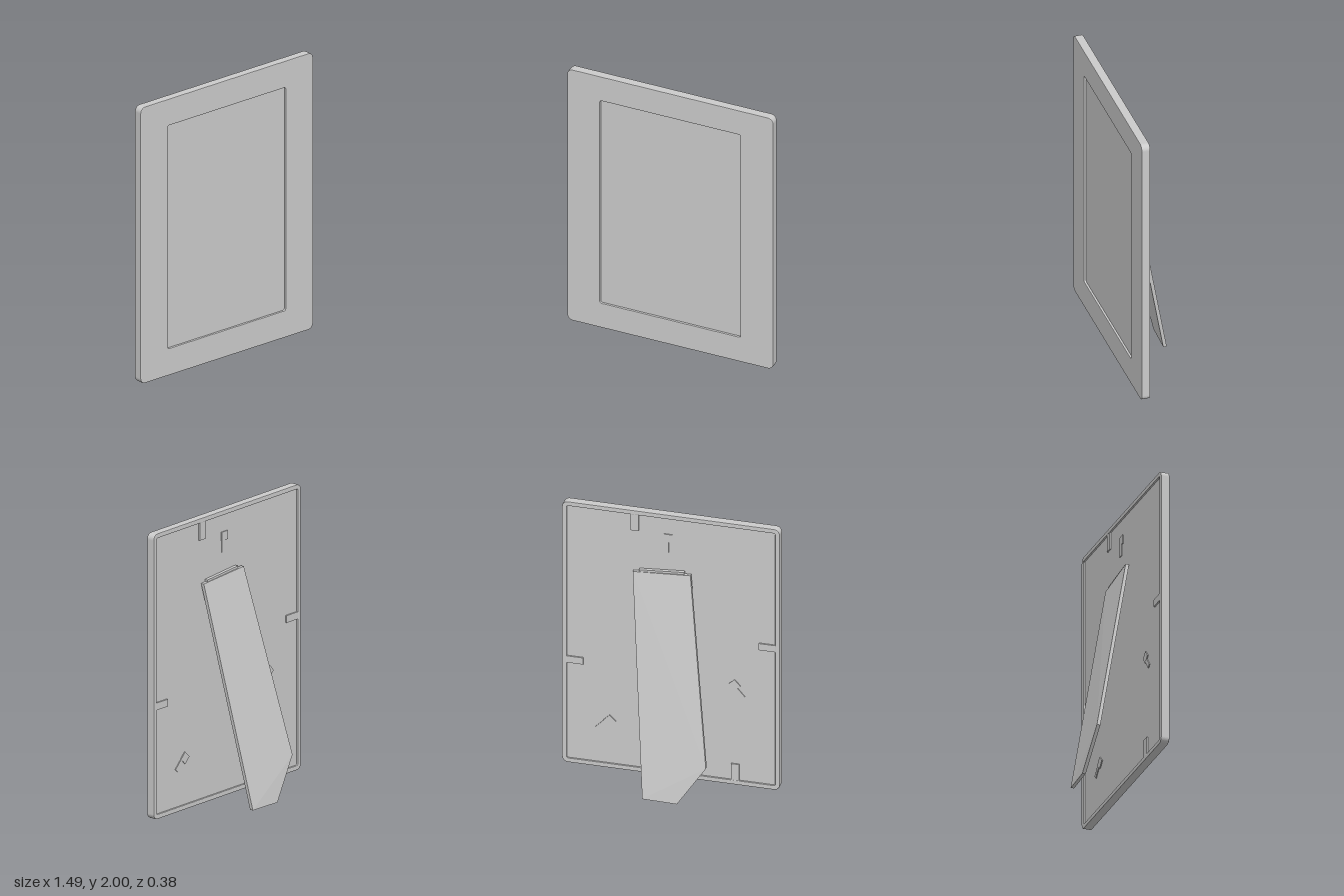
import * as THREE from 'three';

const material = new THREE.MeshStandardMaterial({ color: 0xcccccc });

// Rounded rectangle traced into a Shape or Path
function roundedRect(path, x0, y0, x1, y1, r) {
  path.moveTo(x0 + r, y0);
  path.lineTo(x1 - r, y0);
  path.absarc(x1 - r, y0 + r, r, -Math.PI / 2, 0);
  path.lineTo(x1, y1 - r);
  path.absarc(x1 - r, y1 - r, r, 0, Math.PI / 2);
  path.lineTo(x0 + r, y1);
  path.absarc(x0 + r, y1 - r, r, Math.PI / 2, Math.PI);
  path.lineTo(x0, y0 + r);
  path.absarc(x0 + r, y0 + r, r, Math.PI, Math.PI * 1.5);
  return path;
}

// Outer frame outline with one opening, between two depths, with softened edges
function framePlate(hole, z0, z1) {
  const shape = roundedRect(new THREE.Shape(), -0.747, 0.018, 0.747, 2, 0.04);
  shape.holes.push(roundedRect(new THREE.Path(), ...hole));
  const b = 0.005;
  const geometry = new THREE.ExtrudeGeometry(shape, {
    depth: z1 - z0 - 2 * b, curveSegments: 6,
    bevelThickness: b, bevelSize: b, bevelOffset: -b, bevelSegments: 2,
  });
  return geometry.translate(0, 0, z0 + b);
}

// Flat plate joining matching corners of a back outline, thickened towards +z
function bentPlate(corners, thickness) {
  const n = corners.length;
  const positions = [];
  const back = (i) => corners[i % n];
  const front = (i) => [back(i)[0], back(i)[1], back(i)[2] + thickness];
  const tri = (...pts) => pts.forEach((p) => positions.push(...p));
  for (let i = 0; i < n; i++) {
    if (i < n - 2) {
      tri(back(n - 1), back(i), back(i + 1));
      tri(front(n - 1), front(i + 1), front(i));
    }
    tri(back(i + 1), back(i), front(i));
    tri(back(i + 1), front(i), front(i + 1));
  }
  const geometry = new THREE.BufferGeometry();
  geometry.setAttribute('position', new THREE.Float32BufferAttribute(positions, 3));
  geometry.computeVertexNormals();
  return geometry;
}

export function createModel() {
  const model = new THREE.Group();
  const add = (name, geometry, parent = model) => {
    const mesh = new THREE.Mesh(geometry, material);
    mesh.name = name;
    parent.add(mesh);
    return mesh;
  };
  const box = (name, w, h, d, x, y, z, parent) => {
    const mesh = add(name, new THREE.BoxGeometry(w, h, d), parent);
    mesh.position.set(x, y, z);
    return mesh;
  };

  // Frame: wide front border, thin raised rim behind it, picture in the opening
  add('frontBorder', framePlate([-0.51, 0.21, 0.51, 1.81, 0.012], 0.145, 0.19));
  add('backRim', framePlate([-0.715, 0.05, 0.715, 1.968, 0.01], 0.13, 0.18));
  box('picturePane', 1.04, 1.62, 0.03, 0, 1.01, 0.16);
  box('backBoard', 1.44, 1.93, 0.008, 0, 1.009, 0.146);

  // Retaining tabs reaching in from the rim
  const tabs = [
    [0.25, 1.91, 0.055, 0.125], [-0.44, 0.11, 0.055, 0.125],
    [0.66, 0.8, 0.115, 0.05], [-0.66, 1.09, 0.115, 0.05],
  ];
  for (const [x, y, w, h] of tabs) box('retainingTab', w, h, 0.012, x, y, 0.138);

  // Small hangers on the back board, each a stepped plate
  const hangers = [[0.02, 1.78, 0], [0.45, 0.345, 0.78], [-0.46, 0.74, -0.72]];
  for (const [x, y, angle] of hangers) {
    const hanger = new THREE.Group();
    hanger.name = 'hanger';
    hanger.position.set(x, y, 0.14);
    hanger.rotation.z = angle;
    box('hangerPlate', 0.06, 0.06, 0.01, 0, 0.04, 0, hanger);
    box('hangerStem', 0.03, 0.08, 0.008, 0.012, -0.03, 0, hanger);
    model.add(hanger);
  }

  // Easel leg: leaning plate with one lower corner cut to stand on
  add('easelLeg', bentPlate([
    [-0.14, 1.575, 0.108], [0.257, 1.545, 0.115],
    [0.11, 0, -0.187], [-0.13, 0, -0.195], [-0.32, 0.28, -0.163],
  ], 0.024));

  // Hinge strip holding the leg to the board
  const hinge = box('hinge', 0.31, 0.04, 0.026, 0.06, 1.555, 0.131);
  hinge.rotation.z = -0.08;

  return model;
}
